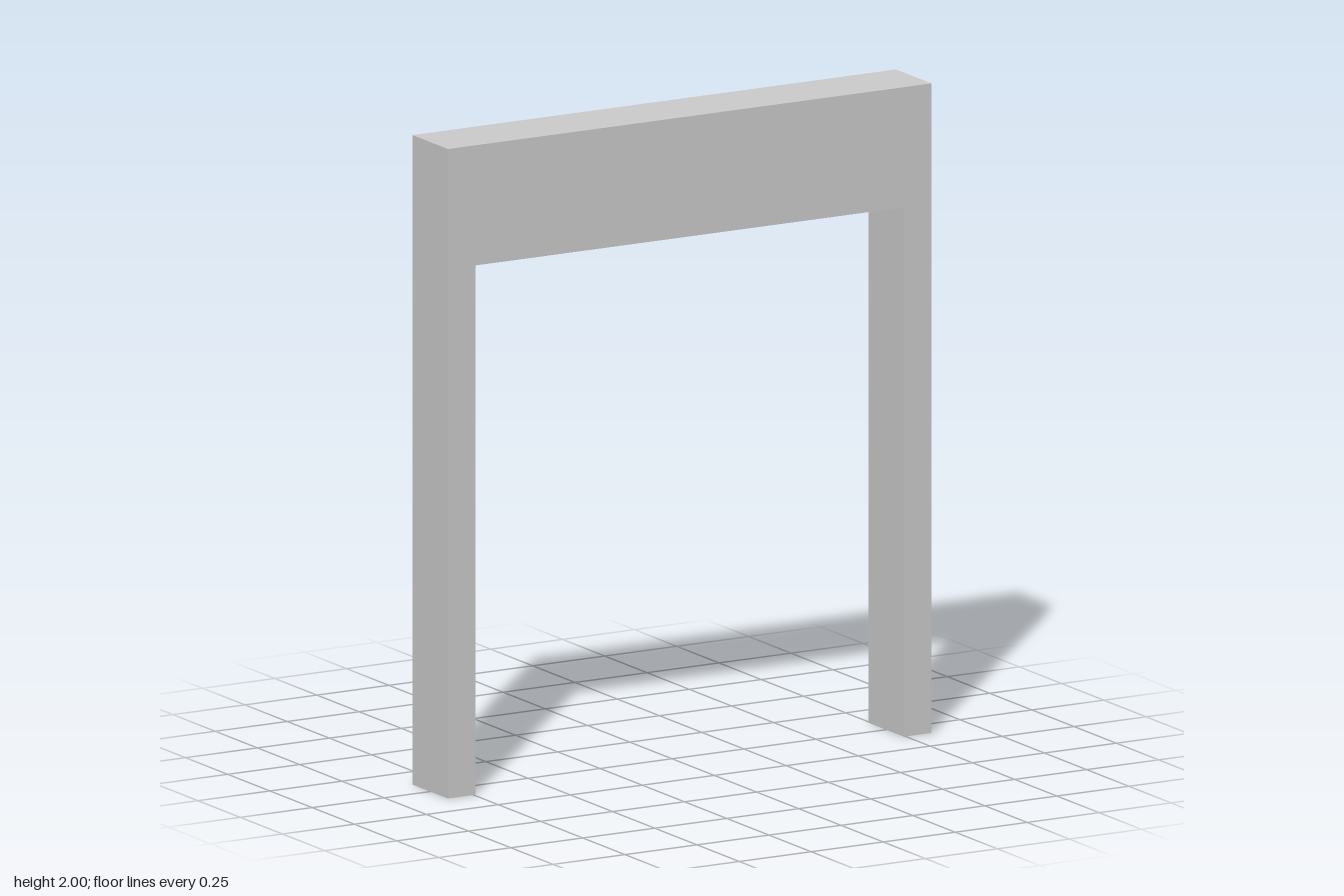
import * as THREE from 'three';

const HALF_WIDTH = 0.84, INNER = 0.745, HEIGHT = 2, OPENING = 1.63, DEPTH = 0.21;

export function createModel() {
  const group = new THREE.Group();
  group.name = 'doorway';

  // One solid outline: two posts joined by a deep lintel
  const outline = new THREE.Shape([
    [-HALF_WIDTH, 0], [-INNER, 0], [-INNER, OPENING], [INNER, OPENING],
    [INNER, 0], [HALF_WIDTH, 0], [HALF_WIDTH, HEIGHT], [-HALF_WIDTH, HEIGHT],
  ].map(([x, y]) => new THREE.Vector2(x, y)));

  const geometry = new THREE.ExtrudeGeometry(outline, { depth: DEPTH, bevelEnabled: false });
  geometry.translate(0, 0, -DEPTH / 2);

  const frame = new THREE.Mesh(
    geometry,
    new THREE.MeshStandardMaterial({ color: 0xcccccc, flatShading: true }),
  );
  frame.name = 'doorFrame';
  group.add(frame);
  return group;
}
